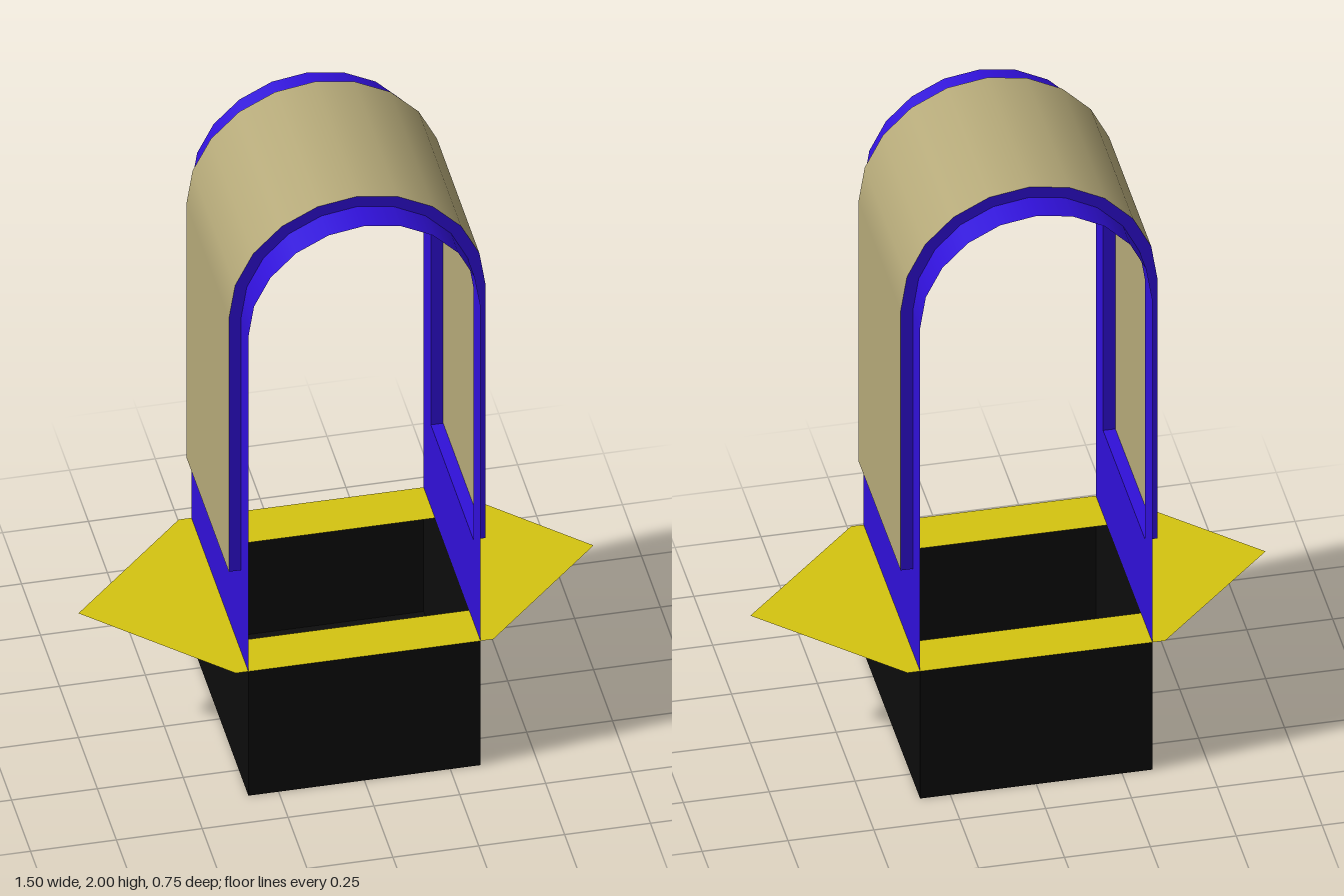
import * as THREE from 'three';

const IN = 0.338, OUT = 0.374;          // inner and outer half widths of the arch
const DEPTH = 0.375, BAND = 0.28;       // half depths of the sheet and the raised band
const DECK = 0.44, BAND_FOOT = 0.73, SPRING = 1.626;
const STEPS = 10;

const paint = (color) => new THREE.MeshStandardMaterial({ color, side: THREE.DoubleSide });

// Arch profile from left foot over the top to right foot: [x, y, normalX, normalY]
function archProfile(r, foot) {
  const pts = [[-r, foot, -1, 0]];
  for (let i = 0; i <= STEPS; i++) {
    const a = Math.PI * (1 - i / STEPS);
    const c = Math.cos(a), s = Math.sin(a);
    pts.push([r * c, SPRING + r * s, c, s]);
  }
  pts.push([r, foot, 1, 0]);
  return pts;
}

// Thin sheet following the arch between two depths, smooth across the curve
function archSheet(r, foot, z0, z1) {
  const pos = [], nor = [], idx = [];
  archProfile(r, foot).forEach(([x, y, nx, ny], i) => {
    pos.push(x, y, z0, x, y, z1);
    nor.push(nx, ny, 0, nx, ny, 0);
    if (i > 0) {
      const a = 2 * i - 2;
      idx.push(a, a + 1, a + 2, a + 1, a + 3, a + 2);
    }
  });
  const g = new THREE.BufferGeometry();
  g.setAttribute('position', new THREE.Float32BufferAttribute(pos, 3));
  g.setAttribute('normal', new THREE.Float32BufferAttribute(nor, 3));
  g.setIndex(idx);
  return g;
}

export function createModel() {
  const model = new THREE.Group();
  const blue = paint(0x3010d8), khaki = paint(0xb4a878);
  const yellow = paint(0xd4c410), black = paint(0x0c0c0c);

  const add = (name, geometry, material, x = 0, y = 0, z = 0) => {
    const mesh = new THREE.Mesh(geometry, material);
    mesh.name = name;
    mesh.position.set(x, y, z);
    model.add(mesh);
    return mesh;
  };

  // Open-topped base box: drop the top face from the index
  const box = new THREE.BoxGeometry(IN * 2, DECK, DEPTH * 2);
  const index = Array.from(box.index.array);
  index.splice(12, 6);
  box.setIndex(index);
  box.clearGroups();
  add('baseBox', box, black, 0, DECK / 2, 0);

  // Flat pointed deck with a rectangular opening
  const deck = new THREE.Shape([
    [-0.75, 0], [-DEPTH, -DEPTH], [DEPTH, -DEPTH],
    [0.75, 0], [DEPTH, DEPTH], [-DEPTH, DEPTH],
  ].map(([x, y]) => new THREE.Vector2(x, y)));
  const hz = 0.225;
  deck.holes.push(new THREE.Path([
    [-IN, -hz], [-IN, hz], [IN, hz], [IN, -hz],
  ].map(([x, y]) => new THREE.Vector2(x, y))));
  add('pointedDeck', new THREE.ShapeGeometry(deck).rotateX(-Math.PI / 2), yellow, 0, DECK, 0);

  // Inner arch: front and back strips
  add('archFrontStrip', archSheet(IN, DECK, BAND, DEPTH), blue);
  add('archBackStrip', archSheet(IN, DECK, -DEPTH, -BAND), blue);

  // Raised band over the arch
  add('archBand', archSheet(OUT, BAND_FOOT, -BAND, BAND), khaki);

  // Rims closing the step between strips and band
  const outline = archProfile(OUT, BAND_FOOT).concat(archProfile(IN, BAND_FOOT).reverse());
  const rim = new THREE.ShapeGeometry(new THREE.Shape(outline.map(([x, y]) => new THREE.Vector2(x, y))));
  add('bandFrontRim', rim, blue, 0, 0, BAND);
  add('bandBackRim', rim, blue, 0, 0, -BAND).rotation.y = Math.PI;

  // Leg panels below the band and the band's underside
  for (const [side, s] of [['left', 1], ['right', -1]]) {
    const panel = new THREE.PlaneGeometry(BAND * 2, BAND_FOOT - DECK).rotateY(s * Math.PI / 2);
    add(side + 'LegPanel', panel, blue, s * IN, (BAND_FOOT + DECK) / 2, 0);
    const ledge = new THREE.PlaneGeometry(OUT - IN, BAND * 2).rotateX(Math.PI / 2);
    add(side + 'BandLedge', ledge, blue, s * (IN + OUT) / 2, BAND_FOOT, 0);
  }
  return model;
}
